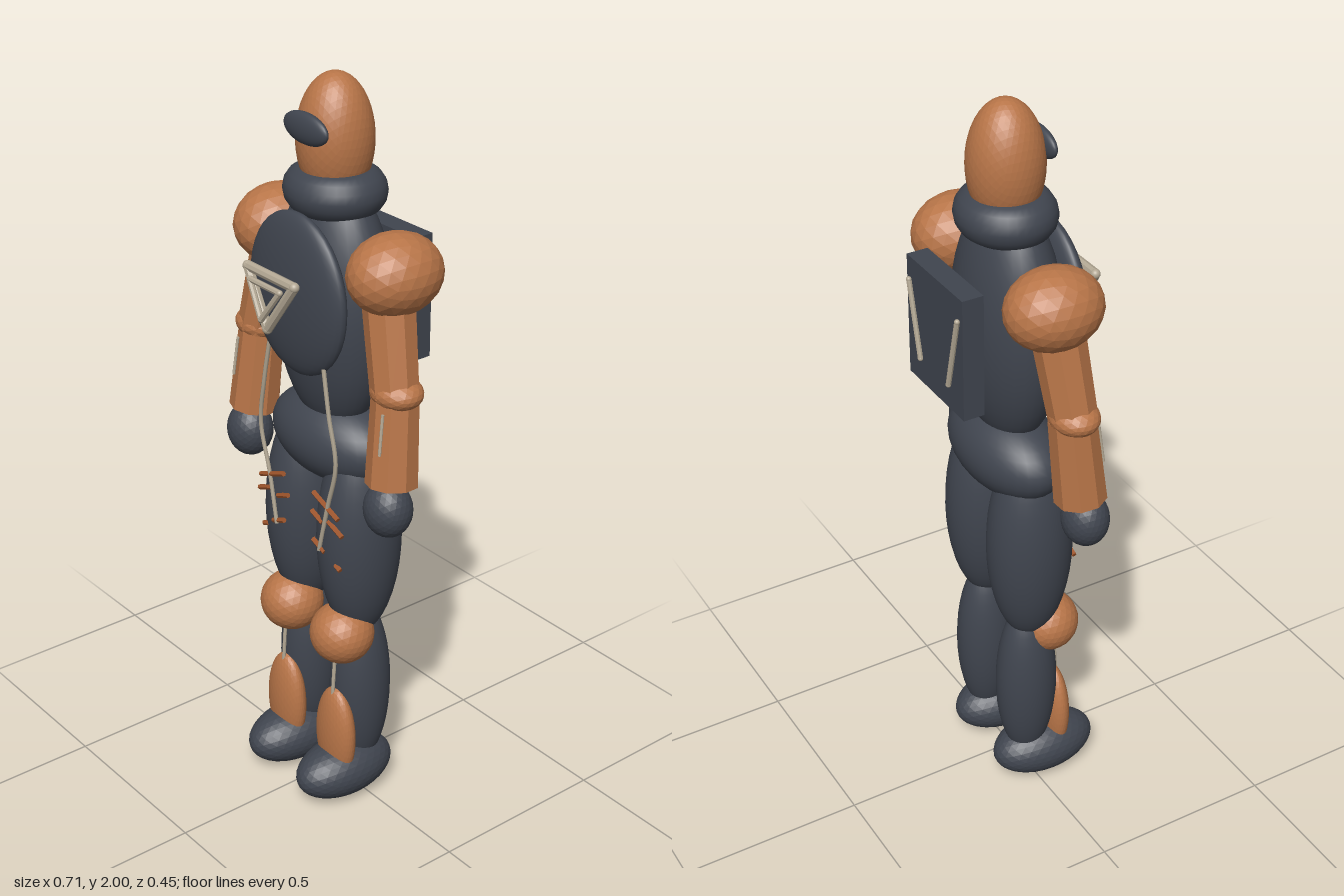
import * as THREE from 'three';

const mat = (name, color) => {
  const m = new THREE.MeshStandardMaterial({ color });
  m.name = name;
  return m;
};
const V = (x, y, z) => new THREE.Vector3(x, y, z);

export function createModel() {
  const model = new THREE.Group();
  model.name = 'armouredFigure';
  const dark = mat('slate', 0x40454f);
  const copper = mat('copper', 0xb87548);
  const pale = mat('paleMetal', 0xb3a894);
  const rust = mat('rust', 0xa0562c);

  const add = (name, geo, material, pos = [0, 0, 0]) => {
    const mesh = new THREE.Mesh(geo, material);
    mesh.name = name;
    mesh.position.set(...pos);
    model.add(mesh);
    return mesh;
  };
  // Smooth ellipsoid
  const egg = (name, material, pos, radii) =>
    add(name, new THREE.SphereGeometry(1, 32, 20).scale(...radii), material, pos);
  // Faceted ellipsoid
  const gem = (name, material, pos, radii, detail = 4) => {
    const geo = new THREE.IcosahedronGeometry(1, detail).scale(...radii);
    geo.computeVertexNormals();
    return add(name, geo, material, pos);
  };
  // Straight bar between two points, faceted when it has few sides
  const bar = (name, material, a, b, rTop, rBottom = rTop, sides = 8) => {
    const dir = a.clone().sub(b);
    const geo = new THREE.CylinderGeometry(rTop, rBottom, dir.length(), sides).toNonIndexed();
    geo.computeVertexNormals();
    const mesh = add(name, geo, material, a.clone().add(b).multiplyScalar(0.5).toArray());
    mesh.quaternion.setFromUnitVectors(V(0, 1, 0), dir.normalize());
    return mesh;
  };

  // Head, visor and collar
  gem('head', copper, [0, 1.836, -0.012], [0.097, 0.164, 0.097], 7);
  egg('visor', dark, [0, 1.876, 0.077], [0.083, 0.04, 0.02]);
  const ring = new THREE.TorusGeometry(0.075, 0.058, 16, 36).rotateX(Math.PI / 2).scale(1.03, 1, 0.94);
  add('collar', ring, dark, [0, 1.709, -0.012]);

  // Torso, chest plate and pelvis
  egg('torso', dark, [0, 1.41, -0.008], [0.185, 0.34, 0.125]);
  egg('chestPlate', dark, [0, 1.462, 0.105], [0.185, 0.212, 0.047]);
  egg('pelvis', dark, [0, 1.045, -0.013], [0.212, 0.118, 0.124]);

  // Nested triangular chest frames
  const frame = (name, w, top, bottom, z, r) => {
    const p = [V(-w, top, z - 0.006), V(w, top, z - 0.006), V(0, bottom, z + 0.006)];
    p.forEach((a, i) => {
      bar(name, pale, a, p[(i + 1) % 3], r);
      egg(name + 'Corner', pale, a.toArray(), [r, r, r]);
    });
  };
  frame('outerChestFrame', 0.093, 1.528, 1.393, 0.193, 0.013);
  frame('innerChestFrame', 0.06, 1.508, 1.423, 0.212, 0.008);

  // Backpack
  add('backpack', new THREE.BoxGeometry(0.274, 0.332, 0.058), dark, [0, 1.42, -0.181]);

  // Rust scratches on each thigh: [x, y, half length, z]
  const scratches = [
    [0.112, 0.917, 0.05, 0.108], [0.072, 0.868, 0.022, 0.104], [0.146, 0.862, 0.028, 0.104],
    [0.085, 0.79, 0.024, 0.109], [0.152, 0.75, 0.01, 0.1],
  ];

  for (const s of [1, -1]) {
    const side = s > 0 ? 'left' : 'right';
    const P = (x, y, z) => V(s * x, y, z);

    // Arm
    gem(side + 'Shoulder', copper, [s * 0.226, 1.556, -0.014], [0.107, 0.103, 0.128], 3);
    bar(side + 'UpperArm', copper, P(0.218, 1.51, -0.002), P(0.272, 1.26, 0.018), 0.068, 0.062, 9);
    gem(side + 'Elbow', copper, [s * 0.275, 1.272, 0.017], [0.073, 0.043, 0.063], 3);
    bar(side + 'Forearm', copper, P(0.27, 1.265, 0.015), P(0.284, 1.03, 0.035), 0.061, 0.068, 9);
    gem(side + 'Hand', dark, [s * 0.287, 0.965, 0.049], [0.066, 0.075, 0.061]);
    bar(side + 'ForearmWire', pale, P(0.295, 1.235, 0.077), P(0.3, 1.13, 0.09), 0.004);

    // Leg
    egg(side + 'Thigh', dark, [s * 0.109, 0.8, -0.006], [0.105, 0.3, 0.116]);
    gem(side + 'Knee', copper, [s * 0.108, 0.515, 0.05], [0.087, 0.083, 0.086]);
    egg(side + 'Shin', dark, [s * 0.108, 0.335, -0.013], [0.077, 0.255, 0.085]);
    gem(side + 'ShinGuard', copper, [s * 0.108, 0.2, 0.07], [0.071, 0.146, 0.038], 6);
    gem(side + 'Foot', dark, [s * 0.108, 0.084, 0.042], [0.089, 0.08, 0.151], 5);
    bar(side + 'ShinWire', pale, P(0.108, 0.46, 0.073), P(0.108, 0.32, 0.082), 0.005);

    // Cable from chest to thigh
    const path = new THREE.CatmullRomCurve3([
      P(0.11, 1.3, 0.112), P(0.133, 1.18, 0.114), P(0.155, 1.05, 0.11),
      P(0.122, 0.92, 0.109), P(0.09, 0.78, 0.112),
    ]);
    add(side + 'Cable', new THREE.TubeGeometry(path, 32, 0.006, 6), pale);

    for (const [x, y, h, z] of scratches)
      bar(side + 'ThighScratch', rust, P(x - h, y + h * 0.4, z), P(x + h, y - h * 0.4, z), 0.007, 0.007, 6);

    // Backpack strip
    const ends = [P(0.12, 1.525, -0.215), P(0.071, 1.325, -0.215)];
    bar(side + 'BackpackStrip', pale, ...ends, 0.007);
    for (const e of ends) egg(side + 'StripEnd', pale, e.toArray(), [0.007, 0.007, 0.007]);
  }
  return model;
}
